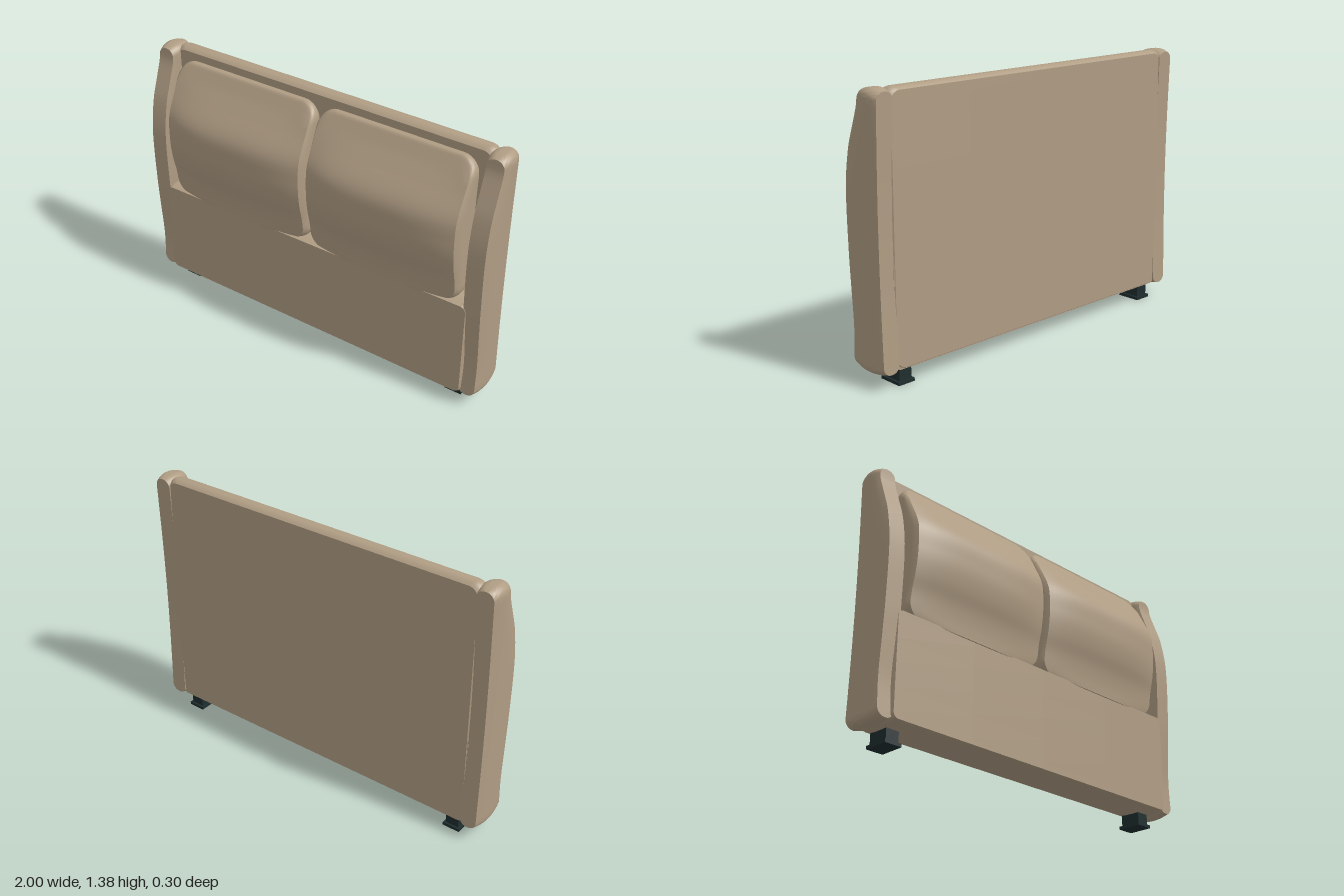
import * as THREE from 'three';
import { toCreasedNormals } from 'three/addons/utils/BufferGeometryUtils.js';

// Smooth curve through [y, z] points (cubic Hermite), giving z for any y
function profile(pts) {
  const slope = (i) => {
    const a = pts[Math.max(i - 1, 0)], b = pts[Math.min(i + 1, pts.length - 1)];
    return (b[1] - a[1]) / (b[0] - a[0]);
  };
  return (y) => {
    let i = 0;
    while (i < pts.length - 2 && y > pts[i + 1][0]) i++;
    const [y0, z0] = pts[i], [y1, z1] = pts[i + 1], h = y1 - y0;
    const t = Math.min(Math.max((y - y0) / h, 0), 1), t2 = t * t, t3 = t2 * t;
    return (2 * t3 - 3 * t2 + 1) * z0 + (t3 - 2 * t2 + t) * h * slope(i)
      + (3 * t2 - 2 * t3) * z1 + (t3 - t2) * h * slope(i + 1);
  };
}

// Upholstered block: a rounded rectangle in x/y, running from back(y) to front(y, s),
// with its sides bulging by `bulge` halfway through the depth
function upholstery({ cx = 0, w, y0, y1, r, back, front, bulge, power = 2, rows = 4, cols = 4 }) {
  const depthSteps = 10, cornerSteps = 8, cy = (y0 + y1) / 2, h = y1 - y0;
  const levels = [];
  for (let i = 0; i <= cornerSteps; i++) {
    const a = (i / cornerSteps) * Math.PI / 2;
    levels.push([y0 + r - r * Math.cos(a), w - r + r * Math.sin(a)]);
  }
  for (let i = 1; i < rows; i++) levels.push([y0 + r + (h - 2 * r) * i / rows, w]);
  for (let i = cornerSteps; i >= 0; i--) levels.push([y0 + y1 - levels[i][0], levels[i][1]]);

  const point = (s, t, k) => {
    const [y, half] = levels[k];
    const inset = bulge * Math.abs(2 * t - 1) ** power;
    const zb = back(y), zf = front(y, s);
    return [cx + s * (half - inset), cy + (y - cy) * (1 - 2 * inset / h), zb + (zf - zb) * t];
  };

  // Horizontal loop: front, right end, back, left end
  const loop = [];
  for (let i = 0; i < cols; i++) loop.push([-1 + 2 * i / cols, 1]);
  for (let i = 0; i < depthSteps; i++) loop.push([1, 1 - i / depthSteps]);
  for (let i = 0; i < cols; i++) loop.push([1 - 2 * i / cols, 0]);
  for (let i = 0; i < depthSteps; i++) loop.push([-1, i / depthSteps]);

  const pos = [];
  const quad = (a, b, c, d) => pos.push(...a, ...b, ...c, ...a, ...c, ...d);
  const top = levels.length - 1;
  for (let k = 0; k < top; k++) {
    loop.forEach((p, j) => {
      const q = loop[(j + 1) % loop.length];
      quad(point(...p, k), point(...q, k), point(...q, k + 1), point(...p, k + 1));
    });
  }
  // Top and bottom caps
  for (let i = 0; i < cols; i++) {
    for (let j = 0; j < depthSteps; j++) {
      const s0 = -1 + 2 * i / cols, s1 = -1 + 2 * (i + 1) / cols;
      const t0 = j / depthSteps, t1 = (j + 1) / depthSteps;
      quad(point(s0, t1, top), point(s1, t1, top), point(s1, t0, top), point(s0, t0, top));
      quad(point(s0, t0, 0), point(s1, t0, 0), point(s1, t1, 0), point(s0, t1, 0));
    }
  }
  const geo = new THREE.BufferGeometry();
  geo.setAttribute('position', new THREE.Float32BufferAttribute(pos, 3));
  return toCreasedNormals(geo, 0.6);
}

export function createModel() {
  const model = new THREE.Group();
  model.name = 'headboard';
  const fabric = new THREE.MeshStandardMaterial({ color: 0xb09d84 });
  fabric.name = 'beige upholstery';
  const dark = new THREE.MeshStandardMaterial({ color: 0x1f2d2e });
  dark.name = 'dark leg';

  const add = (name, geo, mat, parent = model) => {
    const mesh = new THREE.Mesh(geo, mat);
    mesh.name = name;
    parent.add(mesh);
    return mesh;
  };

  // Tall back slab and the thicker panel below the cushions
  add('backPanel', upholstery({
    w: 0.92, y0: 0.075, y1: 1.375, r: 0.05, bulge: 0.016, power: 2.5,
    back: () => -0.143, front: () => -0.06,
  }), fabric);
  add('lowerPanel', upholstery({
    w: 0.922, y0: 0.072, y1: 0.612, r: 0.03, bulge: 0.012, power: 4,
    back: () => -0.14, front: () => 0.084,
  }), fabric);

  // Side wings with a wavy front edge and a slightly hollow back
  const wingFront = profile([[0.065, 0.07], [0.25, 0.063], [0.45, 0.074], [0.62, 0.083],
    [0.92, 0.086], [1.1, 0.06], [1.22, 0.02], [1.31, -0.01], [1.375, -0.015]]);
  const wingBack = (y) => -0.15 + 0.013 * Math.sin(Math.PI * (y - 0.065) / 1.31);
  // Back cushions, full in the middle and sloping to the top
  const cushionFront = profile([[0.58, 0.088], [0.65, 0.095], [0.72, 0.108], [0.8, 0.133],
    [0.88, 0.148], [0.95, 0.151], [1.04, 0.147], [1.1, 0.125], [1.2, 0.06], [1.26, 0.02], [1.325, -0.018]]);

  for (const [side, dir] of [['left', 1], ['right', -1]]) {
    add(side + 'Wing', upholstery({
      cx: dir * 0.9425, w: 0.0575, y0: 0.065, y1: 1.375, r: 0.042, bulge: 0.013,
      back: wingBack, front: wingFront, rows: 44,
    }), fabric);

    add(side + 'Cushion', upholstery({
      cx: dir * 0.4325, w: 0.4225, y0: 0.578, y1: 1.325, r: 0.085, bulge: 0.014, power: 3,
      back: () => -0.065, rows: 36, cols: 20,
      front: (y, s) => {
        const z = cushionFront(y);
        return z - 0.036 * Math.abs(s) ** 3.5 * Math.min(1, Math.max(0, (z - 0.02) / 0.13));
      },
    }), fabric);

    // Block leg on a wider foot plate
    const leg = new THREE.Group();
    leg.name = side + 'Leg';
    leg.position.set(dir * 0.84, 0, -0.06);
    add('legBlock', new THREE.BoxGeometry(0.07, 0.08, 0.11).translate(0, 0.055, 0), dark, leg);
    add('footPlate', new THREE.BoxGeometry(0.092, 0.016, 0.13).translate(0, 0.008, 0), dark, leg);
    model.add(leg);
  }
  return model;
}
